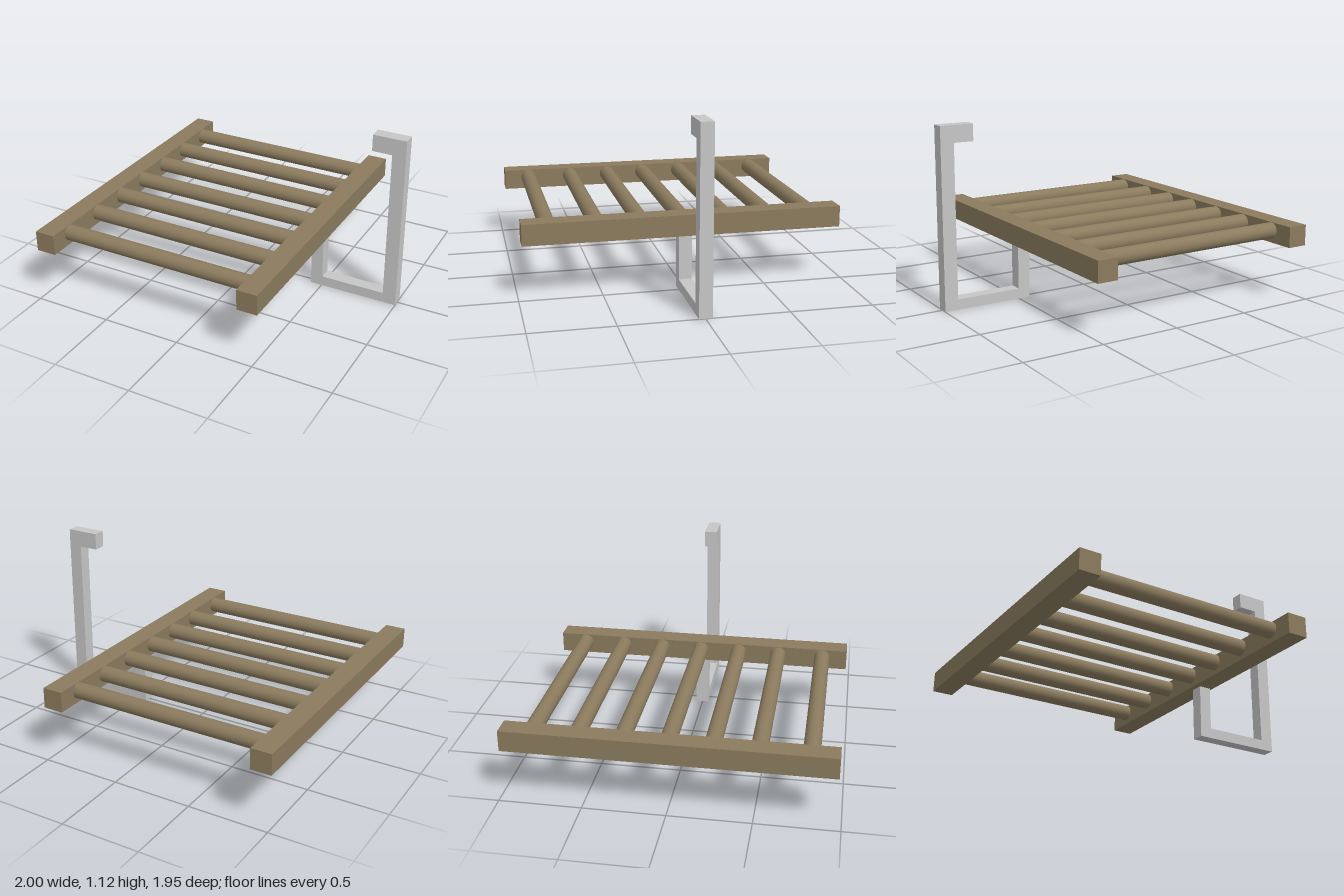
import * as THREE from 'three';

export function createModel() {
  const model = new THREE.Group();
  model.name = 'hangingRack';
  const wood = new THREE.MeshStandardMaterial({ color: 0x8b7b5e });
  wood.name = 'wood brown';
  const metal = new THREE.MeshStandardMaterial({ color: 0xc6c6c6 });
  metal.name = 'light grey metal';

  const add = (name, geometry, material, x, y, z) => {
    const mesh = new THREE.Mesh(geometry, material);
    mesh.name = name;
    mesh.position.set(x, y, z);
    model.add(mesh);
  };

  // two square side rails
  const railGeometry = new THREE.BoxGeometry(0.13, 0.13, 1.945);
  add('rightRail', railGeometry, wood, -0.935, 0.405, 0);
  add('leftRail', railGeometry, wood, 0.455, 0.405, 0);

  // round rungs, flush with the top of the rails
  const rungGeometry = new THREE.CylinderGeometry(0.05, 0.05, 1.28, 32);
  rungGeometry.rotateZ(Math.PI / 2);
  [-0.807, -0.54, -0.273, -0.007, 0.251, 0.517, 0.81].forEach((z, i) => {
    add(`rung${i + 1}`, rungGeometry, wood, -0.24, 0.419, z);
  });

  // flat bent hook beneath the left rail
  const outline = [
    [0.425, 0], [1, 0], [1, 1.12], [0.79, 1.12], [0.79, 1.015],
    [0.915, 1.015], [0.915, 0.065], [0.503, 0.065], [0.503, 0.342], [0.425, 0.342],
  ];
  const shape = new THREE.Shape(outline.map(([x, y]) => new THREE.Vector2(x, y)));
  const hookGeometry = new THREE.ExtrudeGeometry(shape, { depth: 0.08, bevelEnabled: false });
  add('hook', hookGeometry, metal, 0, 0, -0.042);

  return model;
}
